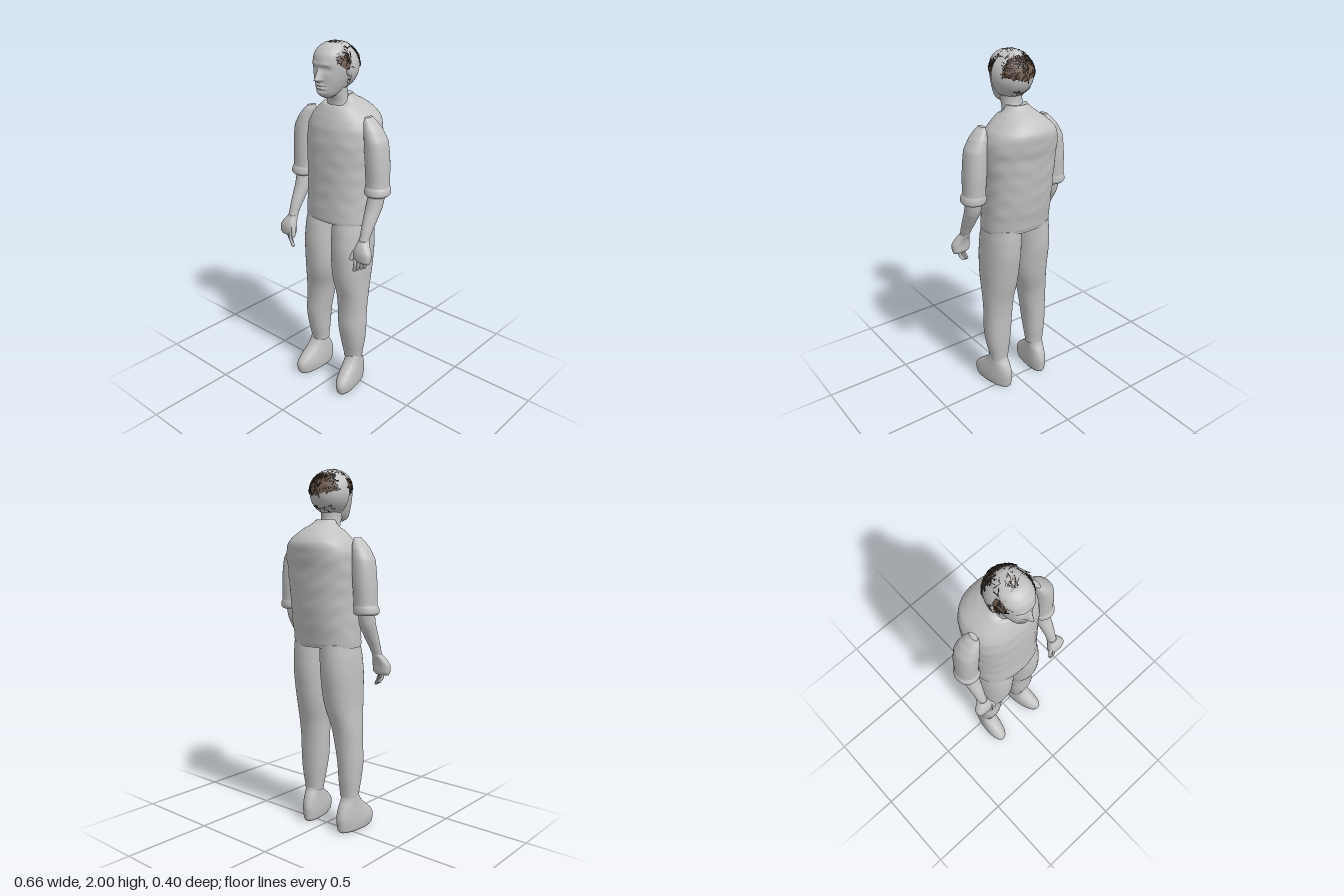
import * as THREE from 'three';
import { mergeGeometries } from 'three/addons/utils/BufferGeometryUtils.js';

const material = (name, color, side = THREE.FrontSide) => {
  const m = new THREE.MeshStandardMaterial({ color, side });
  m.name = name;
  return m;
};

// Smooth interpolation between four neighbouring values
const catmull = (a, b, c, d, t) =>
  b + 0.5 * t * (c - a + t * (2 * a - 5 * b + 4 * c - d + t * (3 * (b - c) + d - a)));

// Skin rounded sections [y, xMin, xMax, zMin, zMax], listed from bottom to top
function loft(keys, { power = 2, seg = 40, sub = 6, rule } = {}) {
  const pos = [], index = [], rows = (keys.length - 1) * sub + 1;
  const key = i => keys[Math.min(Math.max(i, 0), keys.length - 1)];
  const round = v => Math.sign(v) * Math.abs(v) ** (2 / power);
  for (let r = 0; r < rows; r++) {
    const i = Math.min(Math.floor(r / sub), keys.length - 2), t = r / sub - i;
    const [y, x0, x1, z0, z1] = key(i).map((b, k) =>
      k === 0 ? b + (key(i + 1)[0] - b) * t : catmull(key(i - 1)[k], b, key(i + 1)[k], key(i + 2)[k], t));
    for (let j = 0; j < seg; j++) {
      const a = (j / seg) * Math.PI * 2;
      const p = new THREE.Vector3((x0 + x1) / 2 + round(Math.cos(a)) * (x1 - x0) / 2, y,
        (z0 + z1) / 2 + round(Math.sin(a)) * (z1 - z0) / 2);
      if (rule) rule(p, a);
      pos.push(p.x, p.y, p.z);
    }
  }
  for (let r = 0; r < rows - 1; r++) for (let j = 0; j < seg; j++) {
    const a = r * seg + j, b = r * seg + (j + 1) % seg;
    index.push(a, a + seg, b, b, a + seg, b + seg);
  }
  // End caps with their own corners, so the rims stay crisp
  for (const r of [0, rows - 1]) {
    const start = pos.length / 3, c = [0, 0, 0];
    for (let j = 0; j < seg; j++) for (let k = 0; k < 3; k++) {
      const v = pos[(r * seg + j) * 3 + k];
      pos.push(v);
      c[k] += v / seg;
    }
    pos.push(...c);
    for (let j = 0; j < seg; j++) {
      const a = start + j, b = start + (j + 1) % seg;
      index.push(start + seg, ...(r === 0 ? [a, b] : [b, a]));
    }
  }
  const g = new THREE.BufferGeometry();
  g.setAttribute('position', new THREE.Float32BufferAttribute(pos, 3));
  g.setIndex(index);
  g.computeVertexNormals();
  return g;
}

const mirrored = (keys, s) => s > 0 ? keys : keys.map(([y, a, b, c, d]) => [y, -b, -a, c, d]);
const even = keys => keys.map(([y, w, z0, z1]) => [y, -w, w, z0, z1]);
const bump = (d, w) => Math.exp(-((d / w) ** 2));

export function createModel() {
  const model = new THREE.Group();
  const grey = material('plainGrey', 0xc2c2c2);
  const greyShell = material('scalpGrey', 0xc2c2c2, THREE.DoubleSide);
  const brown = material('hairBrown', 0x705c4e, THREE.DoubleSide);
  const dark = material('hairDark', 0x382e28);
  const add = (name, geometry, mat = grey) => {
    const m = new THREE.Mesh(geometry, mat);
    m.name = name;
    model.add(m);
    return m;
  };

  // Shirt body with soft cloth ripples and a dipped neckline
  add('shirt', loft(even([
    [1.05, .198, -.13, .15], [1.07, .199, -.136, .152], [1.2, .198, -.158, .147], [1.35, .202, -.173, .145],
    [1.48, .21, -.184, .14], [1.56, .205, -.198, .13], [1.61, .183, -.198, .115], [1.65, .143, -.172, .098],
    [1.685, .1, -.13, .08], [1.71, .072, -.08, .064], [1.73, .058, -.058, .055]]), {
    power: 2.3, seg: 72, sub: 8, rule: (p, a) => {
      const fade = THREE.MathUtils.smoothstep(p.y, 1.06, 1.15) * (1 - THREE.MathUtils.smoothstep(p.y, 1.5, 1.64));
      const f = 1 + .009 * fade * Math.sin(p.y * 62 + 2 * Math.sin(a * 3)) * Math.sin(a * 4 + p.y * 9);
      p.x *= f;
      p.z *= f;
      p.y -= .045 * THREE.MathUtils.smoothstep(p.y, 1.67, 1.73) * THREE.MathUtils.clamp(p.z / .055, 0, 1);
    } }));

  // Trouser legs, standing slightly unevenly
  add('leftTrouserLeg', loft([
    [.18, .057, .163, -.03, .068], [.3, .04, .185, -.04, .09], [.4, .03, .193, -.045, .105],
    [.5, .025, .193, -.05, .104], [.6, .018, .197, -.062, .112], [.7, .004, .2, -.085, .135],
    [.78, -.002, .204, -.1, .145], [.9, -.004, .202, -.118, .15], [1.0, -.004, .196, -.122, .142],
    [1.07, -.004, .188, -.12, .13]], { power: 2.2 }));
  add('rightTrouserLeg', loft([
    [.2, -.205, -.1, -.03, .068], [.3, -.213, -.09, -.04, .09], [.4, -.219, -.08, -.045, .105],
    [.5, -.217, -.062, -.05, .104], [.6, -.214, -.043, -.062, .112], [.7, -.205, -.012, -.085, .135],
    [.78, -.203, .002, -.1, .145], [.9, -.202, .004, -.118, .15], [1.0, -.196, .004, -.122, .142],
    [1.07, -.188, .004, -.12, .13]], { power: 2.2 }));

  // Shoes, toes turned outward
  for (const [name, x, turn] of [['leftShoe', .112, .18], ['rightShoe', -.158, -.07]]) {
    add(name, loft(even([
      [0, .042, -.06, .178], [.012, .05, -.07, .188], [.05, .055, -.075, .195], [.08, .055, -.077, .185],
      [.115, .053, -.07, .15], [.15, .05, -.055, .108], [.18, .048, -.036, .08], [.22, .045, -.025, .06]]),
    { power: 2.2, rule: p => { p.x += x + turn * p.z; } }));
  }

  // Arms, mirrored: rolled sleeve, forearm, hand and fingers
  for (const [side, s] of [['left', 1], ['right', -1]]) {
    add(side + 'Sleeve', loft(mirrored([
      [1.235, .205, .322, -.046, .076], [1.247, .199, .331, -.055, .085], [1.272, .2, .328, -.055, .082],
      [1.287, .201, .321, -.052, .075], [1.4, .196, .317, -.058, .078], [1.52, .19, .302, -.055, .078],
      [1.58, .185, .268, -.042, .07], [1.615, .183, .237, -.025, .058], [1.638, .187, .212, -.01, .045]], s),
    { power: 2.2 }));
    add(side + 'Forearm', loft(mirrored([
      [1.0, .236, .287, .09, .145], [1.03, .235, .29, .075, .136], [1.1, .226, .296, .03, .113],
      [1.18, .216, .303, -.015, .08], [1.27, .22, .305, -.03, .06]], s)));
    add(side + 'Hand', loft(mirrored([
      [.895, .24, .32, .125, .163], [.91, .224, .326, .116, .172], [.95, .222, .326, .112, .172],
      [.98, .229, .308, .104, .162], [1.01, .236, .287, .09, .145]], s), { power: 2.6 }));
    const finger = (name, points, r) => {
      const v = points.map(([x, y, z]) => new THREE.Vector3(s * x, y, z));
      add(side + name, new THREE.TubeGeometry(new THREE.CatmullRomCurve3(v), 8, r, 8));
      const tip = add(side + name + 'Tip', new THREE.SphereGeometry(r, 8, 6));
      tip.position.copy(v[v.length - 1]);
    };
    for (let i = 0; i < 4; i++) {
      const x = .241 + i * .015, z = .162 - i * .01;
      finger('Finger', [[x, .92, z], [x + .001, .88, z + .002], [x - .012, .836 + i * .007, z - .006]], .009);
    }
    finger('Thumb', [[.24, .965, .145], [.222, .935, .158], [.217, .905, .165]], .011);
  }

  add('neck', loft(even([[1.64, .07, -.05, .075], [1.7, .06, -.03, .078], [1.74, .057, -.018, .095],
    [1.82, .06, -.02, .1]])));

  // Head with nose, eye sockets, brow and lips pushed out of the surface
  add('head', loft(even([
    [1.722, .02, .075, .125], [1.735, .04, .045, .15], [1.755, .054, .01, .164], [1.785, .068, -.005, .163],
    [1.82, .08, -.025, .166], [1.86, .089, -.042, .168], [1.9, .092, -.05, .17], [1.94, .088, -.05, .161],
    [1.97, .072, -.037, .137], [1.988, .047, -.01, .105], [1.997, .012, .03, .06]]), {
    power: 2.15, seg: 120, sub: 8, rule: p => {
      if (p.z < .09) return;
      const x = Math.abs(p.x), y = p.y;
      const nose = y > 1.82 ? Math.max(0, 1 - (y - 1.82) / .06) : Math.max(0, 1 - (1.82 - y) / .014);
      p.z += .037 * nose * bump(x, .009 + .008 * nose);
      p.z -= .014 * bump(x - .034, .02) * bump(y - 1.872, .014);
      p.z += .006 * bump(x - .034, .011) * bump(y - 1.87, .007);
      p.z += .005 * bump(x - .03, .03) * bump(y - 1.896, .009);
      p.z += .009 * bump(x, .026) * (bump(y - 1.793, .007) + bump(y - 1.777, .007));
      p.z -= .007 * bump(x, .03) * (bump(y - 1.785, .003) + bump(y - 1.764, .007));
    } }));
  for (const s of [1, -1]) {
    const ear = add('ear', new THREE.SphereGeometry(1, 16, 12));
    ear.scale.set(.014, .034, .02);
    ear.position.set(s * .1, 1.865, .045);
    ear.rotation.set(-.15, s * -.4, s * -.12);
  }

  // Open half shell forming the back of the skull
  const skull = add('scalpShell', new THREE.SphereGeometry(1, 32, 28, Math.PI, Math.PI), greyShell);
  skull.scale.set(.116, .12, .135);
  skull.position.set(0, 1.872, .05);

  // Hair patches: the parts of a rounded cap that a rule keeps
  const centre = new THREE.Vector3(0, 1.876, .048), radii = new THREE.Vector3(.106, .12, .122);
  const frontHair = (x, y, z) => z > .045 && y > 1.972 - 9.5 * x * x && y > 1.865;
  const backHair = (x, y, z) => z < -.02 && y > 1.855 + .2 * Math.abs(x) && y < 1.975;
  const patch = (name, keep, grow) => {
    const g = new THREE.SphereGeometry(1, 80, 60);
    g.scale(radii.x + grow, radii.y, radii.z + grow).translate(centre.x, centre.y, centre.z);
    const p = g.attributes.position, src = g.index.array, out = [];
    for (let i = 0; i < src.length; i += 3) {
      const t = [src[i], src[i + 1], src[i + 2]];
      if (t.every(k => keep(p.getX(k), p.getY(k), p.getZ(k)))) out.push(...t);
    }
    g.setIndex(out);
    add(name, g, brown);
  };
  patch('frontHair', frontHair, 0);
  patch('backHair', backHair, .014);

  // Loose strands lying across the hair
  let seed = 7;
  const random = () => (seed = (seed * 16807) % 2147483647) / 2147483647;
  const strands = [], tool = new THREE.Object3D();
  while (strands.length < 420) {
    const n = new THREE.Vector3(random() - .5, random() - .45, random() - .5).normalize();
    const back = n.z < 0 ? .014 : .001;
    const p = n.clone().multiply(new THREE.Vector3(radii.x + back, radii.y, radii.z + back)).add(centre);
    const crown = p.y > 1.965 && random() < .3;
    const nape = p.z < .03 && p.y < 1.8 && Math.abs(p.x) < .06 && random() < .4;
    if (!(frontHair(p.x, p.y, p.z) || backHair(p.x, p.y, p.z) || (crown && p.z < .06) || nape)) continue;
    tool.position.copy(p);
    tool.lookAt(p.clone().add(n));
    tool.rotateZ(random() * Math.PI);
    tool.rotateX((random() - .5) * .3);
    tool.updateMatrix();
    strands.push(new THREE.BoxGeometry(.0028, .018 + random() * .018, .003).applyMatrix4(tool.matrix));
  }
  add('hairStrands', mergeGeometries(strands), dark);

  return model;
}
